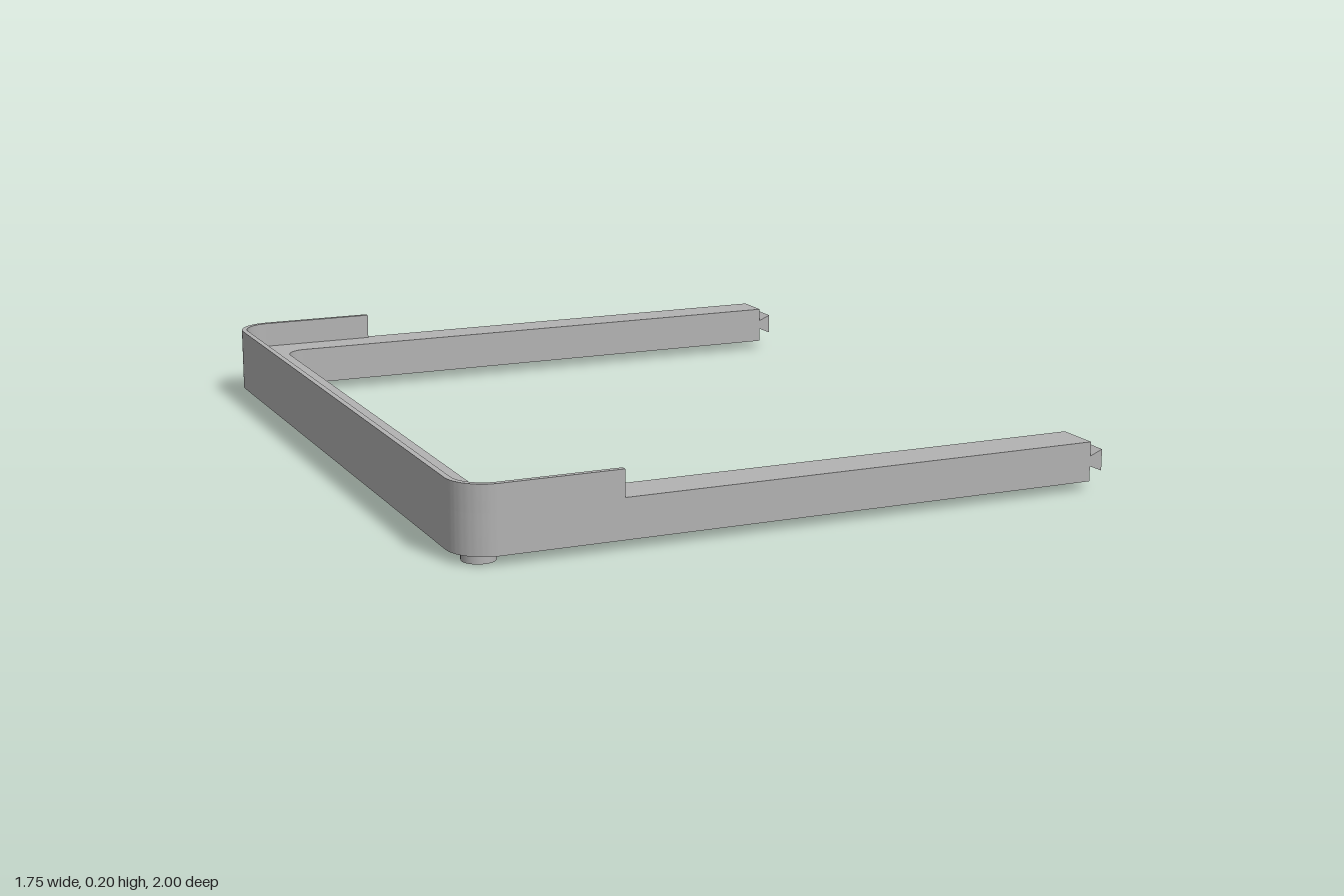
import * as THREE from 'three';
import { toCreasedNormals } from 'three/addons/utils/BufferGeometryUtils.js';

const LEFT = -0.88, ARM_END = 0.84, TIP = 0.875;
const BOTTOM = 0.025, TOP = 0.13, RIM_TOP = 0.2, RIM_END = -0.465;
const BACK_INNER = -0.895, FRONT_INNER = 0.88;
const SLOT = { x0: -0.67, x1: -0.57, depth: 0.03 };

// Extrudes a plan outline (x, z) between two heights
function extrudePlan(shape, y0, y1) {
  const g = new THREE.ExtrudeGeometry(shape, { depth: y1 - y0, bevelEnabled: false, curveSegments: 12 });
  g.rotateX(Math.PI / 2).translate(0, y1, 0);
  return toCreasedNormals(g, 0.6);
}

// Extrudes a side outline (x, y) between two z positions
function extrudeSide(points, z0, z1) {
  const shape = new THREE.Shape(points.map(([x, y]) => new THREE.Vector2(x, y)));
  return new THREE.ExtrudeGeometry(shape, { depth: z1 - z0, bevelEnabled: false }).translate(0, 0, z0);
}

// Continues a path round the two corners of a U, from the front arm to the back arm
function frontToBack(s, x, zFront, zBack, r) {
  s.lineTo(x + r, zFront);
  s.absarc(x + r, zFront - r, r, Math.PI / 2, Math.PI, false);
  s.lineTo(x, zBack + r);
  s.absarc(x + r, zBack + r, r, Math.PI, Math.PI * 1.5, false);
}

// Same, from the back arm to the front arm
function backToFront(s, x, zBack, zFront, r) {
  s.lineTo(x + r, zBack);
  s.absarc(x + r, zBack + r, r, Math.PI * 1.5, Math.PI, true);
  s.lineTo(x, zFront - r);
  s.absarc(x + r, zFront - r, r, Math.PI, Math.PI / 2, true);
}

export function createModel() {
  const model = new THREE.Group();
  const grey = new THREE.MeshStandardMaterial({ color: 0xb3b3b3 });
  grey.name = 'grey plastic';
  const add = (name, geometry) => {
    const mesh = new THREE.Mesh(geometry, grey);
    mesh.name = name;
    model.add(mesh);
    return mesh;
  };

  // U-shaped frame with a recess in the back face for the slot
  const frame = new THREE.Shape();
  frame.moveTo(ARM_END, 1);
  frontToBack(frame, LEFT, 1, -1, 0.1);
  frame.lineTo(SLOT.x0, -1);
  frame.lineTo(SLOT.x0, -1 + SLOT.depth);
  frame.lineTo(SLOT.x1, -1 + SLOT.depth);
  frame.lineTo(SLOT.x1, -1);
  frame.lineTo(ARM_END, -1);
  frame.lineTo(ARM_END, BACK_INNER);
  backToFront(frame, -0.755, BACK_INNER, FRONT_INNER, 0.06);
  frame.lineTo(ARM_END, FRONT_INNER);
  frame.closePath();
  add('frame', extrudePlan(frame, BOTTOM, TOP));

  // Recess filled around a slot that widens above its mouth
  const { x0, x1 } = SLOT;
  add('slotSurround', extrudeSide([
    [x0, BOTTOM], [-0.637, BOTTOM], [-0.637, 0.045], [x0 + 0.003, 0.05], [x0 + 0.003, 0.08],
    [x1 - 0.003, 0.08], [x1 - 0.003, 0.05], [-0.603, 0.045], [-0.603, BOTTOM],
    [x1, BOTTOM], [x1, TOP], [x0, TOP],
  ], -1, -1 + SLOT.depth));

  // Thin raised rim around the closed end
  const t = 0.015;
  const rim = new THREE.Shape();
  rim.moveTo(RIM_END, 1);
  frontToBack(rim, LEFT, 1, -1, 0.1);
  rim.lineTo(RIM_END, -1);
  rim.lineTo(RIM_END, -1 + t);
  backToFront(rim, LEFT + t, -1 + t, 1 - t, 0.085);
  rim.lineTo(RIM_END, 1 - t);
  rim.closePath();
  add('rim', extrudePlan(rim, TOP, RIM_TOP));

  // Dovetail tongues on the arm ends
  const tongue = [[ARM_END, 0.065], [TIP, 0.05], [TIP, 0.107], [ARM_END, 0.092]];
  add('frontTongue', extrudeSide(tongue, FRONT_INNER, 1));
  add('backTongue', extrudeSide(tongue, -1, BACK_INNER));

  // Round pegs under the corners
  for (const side of [1, -1]) {
    const peg = add(side > 0 ? 'frontPeg' : 'backPeg', new THREE.CylinderGeometry(0.043, 0.043, BOTTOM, 32));
    peg.position.set(-0.807, BOTTOM / 2, side * 0.925);
  }
  return model;
}
